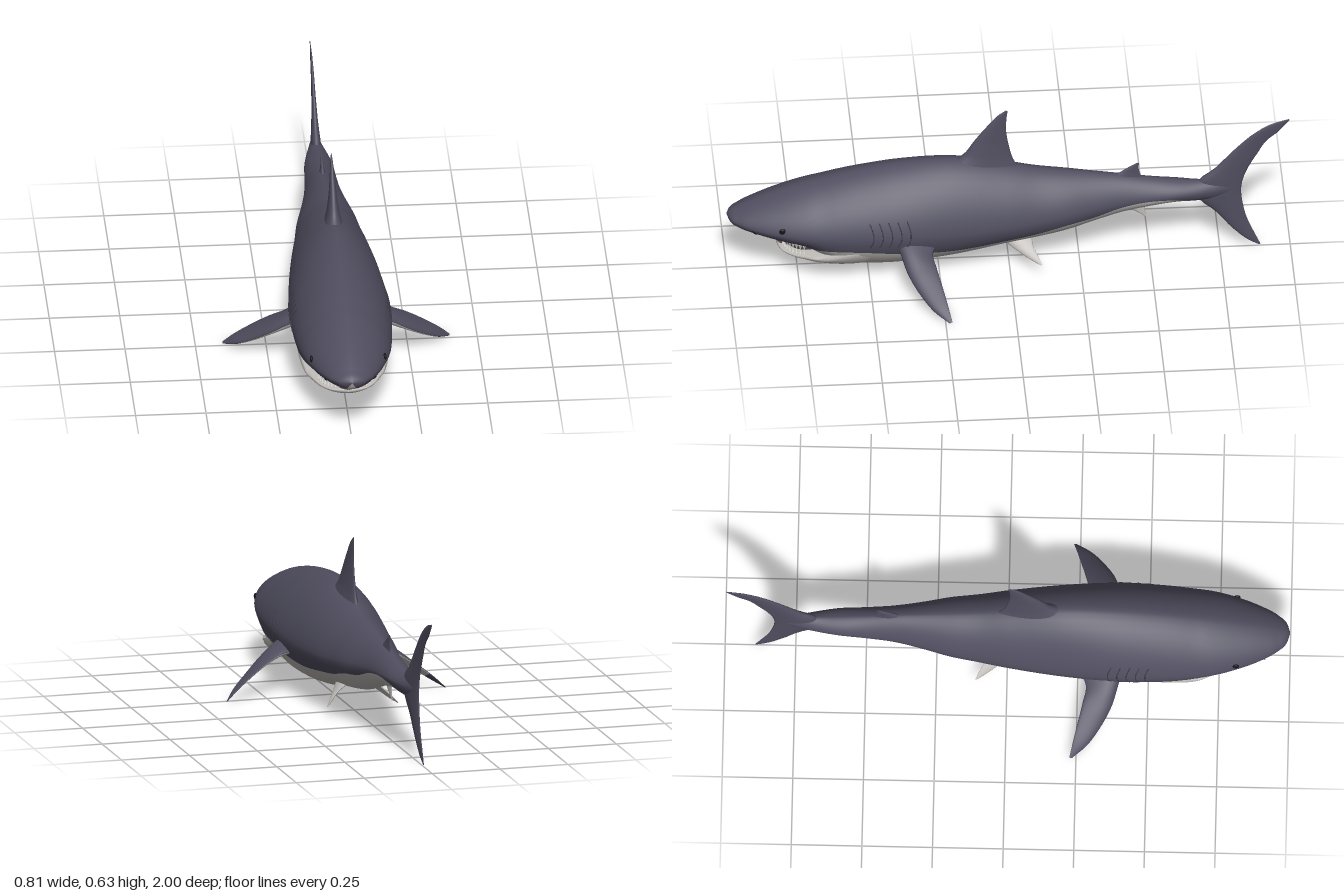
import * as THREE from 'three';

const mat = (name, color) => Object.assign(new THREE.MeshStandardMaterial({ color }), { name });
const P_TOP = 1.6, P_BOT = 1.8;

// Body stations: z, top, widest height, bottom, half width, colour line height
const BODY = [
  [-0.80, 0.290, 0.262, 0.235, 0.008, 0.235], [-0.72, 0.295, 0.260, 0.218, 0.027, 0.218],
  [-0.66, 0.298, 0.260, 0.215, 0.040, 0.222], [-0.60, 0.305, 0.260, 0.218, 0.050, 0.243],
  [-0.50, 0.318, 0.255, 0.205, 0.057, 0.250], [-0.40, 0.335, 0.250, 0.185, 0.066, 0.235],
  [-0.30, 0.350, 0.240, 0.155, 0.085, 0.205], [-0.20, 0.365, 0.230, 0.125, 0.108, 0.190],
  [-0.10, 0.380, 0.220, 0.105, 0.123, 0.165], [0.00, 0.402, 0.215, 0.090, 0.140, 0.150],
  [0.20, 0.435, 0.210, 0.050, 0.165, 0.130], [0.40, 0.425, 0.210, 0.030, 0.180, 0.145],
  [0.50, 0.410, 0.210, 0.030, 0.178, 0.155], [0.60, 0.390, 0.210, 0.040, 0.172, 0.160],
  [0.66, 0.375, 0.210, 0.075, 0.166, 0.158], [0.72, 0.360, 0.215, 0.120, 0.158, 0.152],
  [0.80, 0.335, 0.220, 0.145, 0.138, 0.165], [0.90, 0.297, 0.225, 0.175, 0.100, 0.190],
  [0.96, 0.268, 0.230, 0.193, 0.065, 0.198], [0.99, 0.250, 0.233, 0.213, 0.033, 0.215],
  [1.00, 0.237, 0.236, 0.235, 0.001, 0.2355],
];

// Lower jaw stations, same columns
const JAW = [
  [0.50, 0.190, 0.160, 0.035, 0.160, 0.190], [0.58, 0.170, 0.140, 0.042, 0.160, 0.170],
  [0.66, 0.140, 0.120, 0.060, 0.148, 0.140], [0.72, 0.128, 0.115, 0.072, 0.125, 0.126],
  [0.79, 0.120, 0.110, 0.090, 0.080, 0.118], [0.815, 0.120, 0.112, 0.098, 0.045, 0.118],
  [0.825, 0.118, 0.112, 0.107, 0.003, 0.116],
];

const stations = (rows) => new THREE.CubicInterpolant(
  rows.map((r) => r[0]), rows.flatMap((r) => r.slice(1)), 5, new Float32Array(5));

// Point on a cross-section; t runs from the back (0) to the belly (PI)
function ringPoint([top, mid, bot, w], t, z) {
  const c = Math.cos(t), p = c >= 0 ? P_TOP : P_BOT;
  const h = Math.pow(Math.abs(c), 2 / p);
  const x = w * Math.pow(Math.abs(Math.sin(t)), 2 / p);
  return new THREE.Vector3(x, c >= 0 ? mid + (top - mid) * h : mid - (mid - bot) * h, z);
}

// Angle at which a cross-section reaches the colour line
function splitAngle([top, mid, bot, , s]) {
  const up = s >= mid, f = THREE.MathUtils.clamp(up ? (s - mid) / (top - mid) : (mid - s) / (mid - bot), 0, 1);
  return up ? Math.acos(Math.pow(f, P_TOP / 2)) : Math.acos(-Math.pow(f, P_BOT / 2));
}

function geometryFrom(pos, upper, lower) {
  const g = new THREE.BufferGeometry();
  g.setAttribute('position', new THREE.Float32BufferAttribute(pos, 3));
  g.setIndex([...upper, ...lower]);
  g.addGroup(0, upper.length, 0);
  g.addGroup(upper.length, lower.length, 1);
  g.computeVertexNormals();
  return g;
}

// Two-coloured loft through stations
function loft(rows, steps) {
  const curve = stations(rows), N = 14, M = 10, C = 2 * (N + M);
  const z0 = rows[0][0], z1 = rows[rows.length - 1][0];
  const pos = [], upper = [], lower = [];
  for (let i = 0; i <= steps; i++) {
    const z = z1 - (z1 - z0) * Math.pow(1 - i / steps, 1.5);
    const v = Array.from(curve.evaluate(z)), ts = splitAngle(v);
    for (let j = 0; j < C; j++) {
      const k = Math.min(j, C - j);
      const t = k <= N ? ts * k / N : ts + (Math.PI - ts) * (k - N) / M;
      const p = ringPoint(v, t, z);
      pos.push(j > C / 2 ? -p.x : p.x, p.y, p.z);
      if (i === steps) continue;
      const a = i * C + j, d = i * C + (j + 1) % C;
      (j < N || j >= C - N ? upper : lower).push(a, a + C, d + C, a, d + C, d);
    }
  }
  return geometryFrom(pos, upper, lower);
}

// Fin through sections [leading edge, trailing edge, half thickness]
function fin(sections, normal, darkFrom = 2) {
  const V = (a) => new THREE.Vector3(...a);
  const n = V(normal).normalize();
  const lead = new THREE.CatmullRomCurve3(sections.map((s) => V(s[0])));
  const trail = new THREE.CatmullRomCurve3(sections.map((s) => V(s[1])));
  const rows = 28, C = 20, pos = [], upper = [], lower = [];
  const last = sections.length - 1;
  const chord = V(sections[0][1]).sub(V(sections[0][0]));
  const span = V(sections[last][0]).sub(V(sections[0][0]));
  const flip = span.cross(chord).dot(n) < 0;
  for (let i = 0; i <= rows; i++) {
    const u = i / rows, f = u * last, k = Math.min(Math.floor(f), last - 1);
    const thick = THREE.MathUtils.lerp(sections[k][2], sections[k + 1][2], f - k);
    const l = lead.getPoint(u), e = trail.getPoint(u);
    for (let j = 0; j < C; j++) {
      const a = j / C * Math.PI * 2, c = (1 - Math.cos(a)) / 2;
      const p = l.clone().lerp(e, c).addScaledVector(n, thick * Math.sin(a) * (1.2 - 0.7 * c));
      pos.push(p.x, p.y, p.z);
      if (i === rows) continue;
      const q = i * C + j, d = i * C + (j + 1) % C;
      const quad = flip ? [q, d + C, q + C, q, d, d + C] : [q, q + C, d + C, q, d + C, d];
      (j < C / 2 || u >= darkFrom ? upper : lower).push(...quad);
    }
  }
  return geometryFrom(pos, upper, lower);
}

export function createModel() {
  const skin = mat('slateSkin', 0x504e5f), belly = mat('paleBelly', 0xbdbab6);
  const mouth = mat('mouthInterior', 0x4a3f44), tooth = mat('toothWhite', 0xdcdad4);
  const black = mat('eyeBlack', 0x141418), slit = mat('gillShade', 0x3f3d4b);
  const model = new THREE.Group();
  model.name = 'shark';
  const add = (name, geometry, material) => {
    const m = new THREE.Mesh(geometry, material);
    m.name = name;
    model.add(m);
    return m;
  };

  add('body', loft(BODY, 110), [skin, belly]);
  add('lowerJaw', loft(JAW, 30), [mouth, belly]);
  add('mouthCavity', new THREE.CylinderGeometry(0.085, 0.085, 0.055, 28), mouth).position.set(0, 0.138, 0.705);

  // Teeth along both jaws
  const teeth = new THREE.Group();
  teeth.name = 'teeth';
  model.add(teeth);
  const cone = new THREE.ConeGeometry(0.007, 0.022, 6);
  for (let i = 0; i < 19; i++) {
    const a = -1.35 + 2.7 * i / 18, x = 0.1 * Math.sin(a), z = 0.71 + 0.095 * Math.cos(a);
    for (const up of [true, false]) {
      const m = new THREE.Mesh(cone, tooth);
      m.name = up ? 'lowerTooth' : 'upperTooth';
      m.position.set(x, up ? 0.124 : 0.14, z);
      m.rotation.x = up ? 0 : Math.PI;
      teeth.add(m);
    }
  }

  // Vertical fins on the centre line, given as (y, z) edges
  const upright = (name, rows, m) => add(name, fin(
    rows.map(([ly, lz, ty, tz, th]) => [[0, ly, lz], [0, ty, tz], th]), [1, 0, 0]), [m, m]);
  upright('dorsalFin', [
    [0.40, 0.23, 0.37, -0.05, 0.042], [0.448, 0.16, 0.42, -0.018, 0.026], [0.50, 0.125, 0.49, 0.0, 0.016],
    [0.56, 0.08, 0.55, 0.008, 0.01], [0.61, 0.038, 0.60, 0.006, 0.005], [0.632, 0.008, 0.63, 0.002, 0.001]], skin);
  upright('secondDorsalFin', [
    [0.32, -0.36, 0.30, -0.48, 0.014], [0.347, -0.40, 0.335, -0.468, 0.007],
    [0.37, -0.435, 0.36, -0.462, 0.004], [0.383, -0.458, 0.38, -0.464, 0.001]], skin);
  upright('analFin', [
    [0.23, -0.39, 0.23, -0.49, 0.012], [0.19, -0.43, 0.20, -0.483, 0.007],
    [0.165, -0.465, 0.17, -0.485, 0.004], [0.148, -0.488, 0.151, -0.49, 0.001]], belly);
  upright('tailFin', [
    [0.01, -0.885, 0.01, -0.895, 0.001], [0.035, -0.845, 0.06, -0.873, 0.005], [0.09, -0.79, 0.13, -0.845, 0.009],
    [0.16, -0.735, 0.20, -0.83, 0.014], [0.225, -0.67, 0.245, -0.826, 0.019], [0.29, -0.67, 0.285, -0.83, 0.019],
    [0.34, -0.728, 0.335, -0.847, 0.013], [0.42, -0.80, 0.405, -0.885, 0.008], [0.485, -0.868, 0.455, -0.915, 0.006],
    [0.525, -0.93, 0.49, -0.955, 0.004], [0.545, -0.996, 0.54, -0.998, 0.001]], skin);

  const shape = stations(BODY);
  const onBody = (z, t) => ringPoint(Array.from(shape.evaluate(z)), t, z);
  for (const s of [1, -1]) {
    const side = s > 0 ? 'left' : 'right';
    const m = ([x, y, z]) => [x * s, y, z];
    const paired = (name, rows, normal, mats, dark) => add(side + name,
      fin(rows.map(([l, t, th]) => [m(l), m(t), th]), m(normal), dark), mats);

    paired('PectoralFin', [
      [[0.12, 0.185, 0.415], [0.12, 0.17, 0.24], 0.036], [[0.18, 0.155, 0.395], [0.18, 0.155, 0.28], 0.026],
      [[0.24, 0.115, 0.375], [0.24, 0.128, 0.27], 0.018], [[0.30, 0.072, 0.34], [0.30, 0.09, 0.254], 0.013],
      [[0.36, 0.032, 0.292], [0.36, 0.046, 0.238], 0.008], [[0.403, 0.004, 0.236], [0.402, 0.008, 0.226], 0.001],
    ], [0.55, 0.83, 0], [skin, belly], 0.74);
    paired('PelvicFin', [
      [[0.05, 0.115, 0.03], [0.05, 0.12, -0.08], 0.018], [[0.08, 0.085, -0.02], [0.08, 0.098, -0.082], 0.01],
      [[0.11, 0.06, -0.07], [0.11, 0.07, -0.1], 0.006], [[0.13, 0.046, -0.106], [0.13, 0.049, -0.113], 0.001],
    ], [0.55, 0.83, 0], [belly, belly]);

    // Eye, nostril and gill slits sit on the body surface
    const eye = add(side + 'Eye', new THREE.SphereGeometry(0.012, 16, 12), black);
    const p = onBody(0.81, 1.34);
    eye.position.set(p.x * s, p.y, p.z);
    eye.scale.x = 0.5;
    const line = (name, pts, r, material) => add(name, new THREE.TubeGeometry(
      new THREE.CatmullRomCurve3(pts.map((q) => q.setX(q.x * s))), 14, r, 6), material);
    line(side + 'Nostril', [1.75, 1.95, 2.15].map((t, i) => onBody(0.915 - 0.008 * i, t)), 0.003, black);
    for (let k = 0; k < 5; k++) {
      const z = 0.37 + 0.033 * k;
      line(side + 'GillSlit', [1.15, 1.35, 1.55, 1.75].map((t, i) => onBody(z - 0.006 * i * (3 - i), t)), 0.002, slit);
    }
  }
  return model;
}
